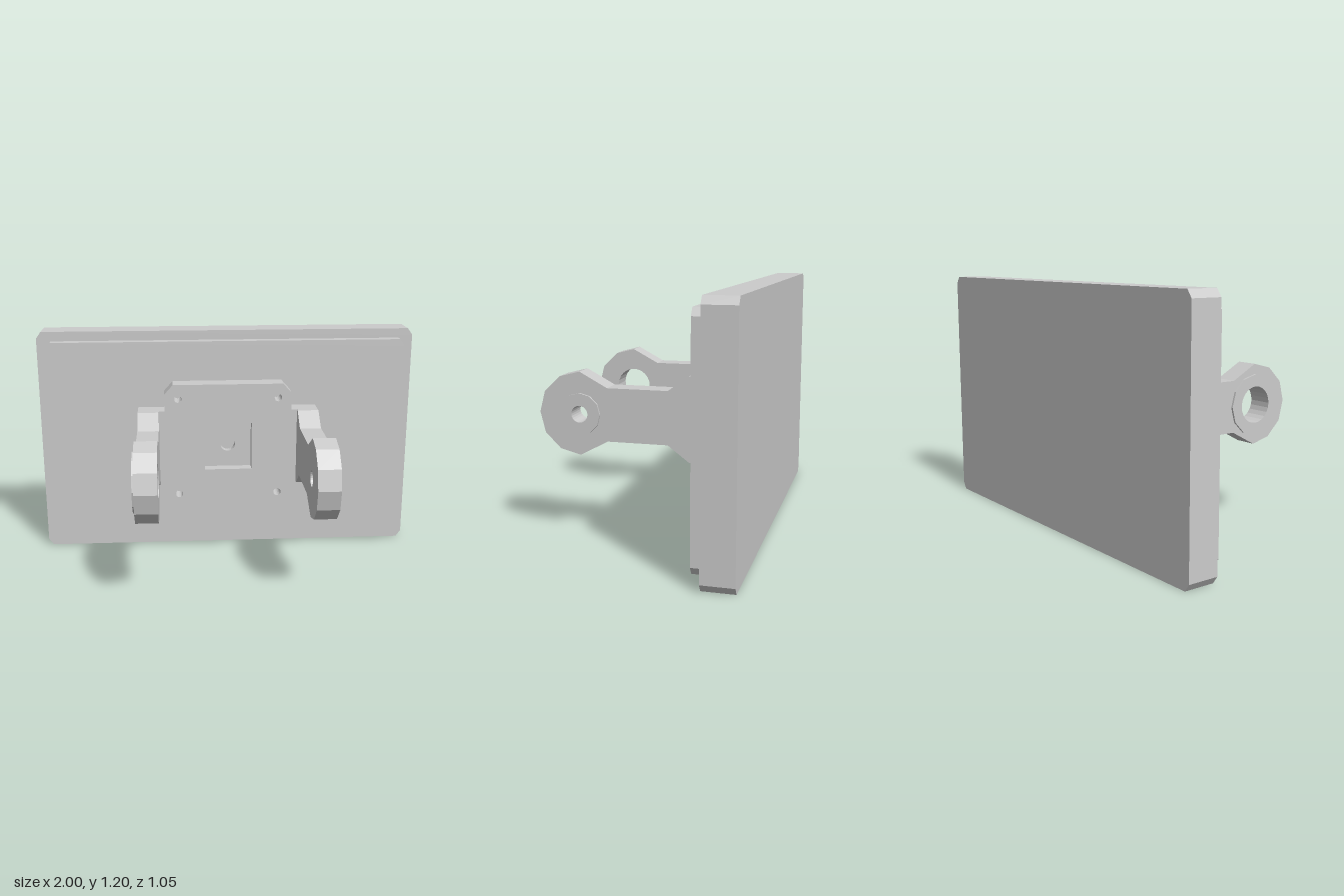
import * as THREE from 'three';

const material = new THREE.MeshStandardMaterial({ color: 0xcccccc, flatShading: true });

const polygon = (points, Type = THREE.Shape) => new Type(points.map(([x, y]) => new THREE.Vector2(x, y)));

// regular polygon ring of points
function circle(cx, cy, r, sides) {
  return Array.from({ length: sides }, (_, i) => {
    const a = (i / sides) * Math.PI * 2;
    return [cx + r * Math.cos(a), cy + r * Math.sin(a)];
  });
}

// rectangle with cut corners, w and h are half sizes
function chamferedRect(w, h, cx, cy, y0 = 0.6) {
  return [
    [w - cx, -h], [w, -h + cy], [w, h - cy], [w - cx, h],
    [-w + cx, h], [-w, h - cy], [-w, -h + cy], [-w + cx, -h],
  ].map(([x, y]) => [x, y + y0]);
}

function slab(name, outline, holes, depth) {
  const shape = polygon(outline);
  shape.holes = holes.map((h) => polygon(h, THREE.Path));
  const mesh = new THREE.Mesh(new THREE.ExtrudeGeometry(shape, { depth, bevelEnabled: false }), material);
  mesh.name = name;
  return mesh;
}

// slab in the xy plane between two z values
function frontSlab(name, outline, holes, z0, z1) {
  const mesh = slab(name, outline, holes, z1 - z0);
  mesh.position.z = z0;
  return mesh;
}

// slab whose outline is given as (z, y), between two x values
function sideSlab(name, outline, holes, x0, x1) {
  const mesh = slab(name, outline, holes, x1 - x0);
  mesh.rotation.y = -Math.PI / 2;
  mesh.position.x = x1;
  return mesh;
}

export function createModel() {
  const model = new THREE.Group();
  model.name = 'panelBracket';

  // back panel and raised step
  model.add(frontSlab('panel', chamferedRect(1, 0.6, 0.025, 0.035), [], -0.525, -0.375));
  model.add(frontSlab('raisedPanel', chamferedRect(0.95, 0.55, 0.025, 0.035), [], -0.375, -0.325));

  // mounting plate with side wings that reach the arms
  const half = [
    [0.285, 0.265], [0.335, 0.315], [0.335, 0.4], [0.365, 0.4],
    [0.365, 0.8], [0.335, 0.8], [0.335, 0.89], [0.29, 0.94],
  ];
  const plate = [...half, ...half.map(([x, y]) => [-x, y]).reverse()];
  const screws = [];
  for (const x of [-0.265, 0.265]) for (const y of [0.34, 0.865]) screws.push(circle(x, y, 0.02, 16));
  const pocket = [[-0.125, 0.475], [0.125, 0.475], [0.125, 0.73], [-0.125, 0.73]];
  model.add(frontSlab('mountPlateBase', plate, [...screws, circle(0, 0.6, 0.04, 24)], -0.325, -0.285));
  model.add(frontSlab('mountPlateFront', plate, [...screws, pocket], -0.285, -0.225));

  // arms ending in a twelve-sided eye
  const arm = [
    [-0.325, 0.4], [-0.2, 0.4], [-0.1, 0.475], [0.19, 0.475],
    [0.325, 0.403], [0.425, 0.429], [0.5, 0.503], [0.525, 0.602], [0.5, 0.7], [0.425, 0.774], [0.325, 0.8],
    [0.19, 0.728], [-0.1, 0.728], [-0.2, 0.8], [-0.325, 0.8],
  ];
  const eye = (r, sides) => circle(0.325, 0.6, r, sides);
  model.add(sideSlab('leftArm', arm, [eye(0.04, 24)], 0.365, 0.475));
  model.add(sideSlab('leftBoss', eye(0.1, 12), [eye(0.04, 24)], 0.475, 0.485));
  model.add(sideSlab('rightArm', arm, [eye(0.09, 24)], -0.475, -0.365));
  model.add(sideSlab('rightBoss', eye(0.15, 12), [eye(0.09, 24)], -0.485, -0.475));

  return model;
}
